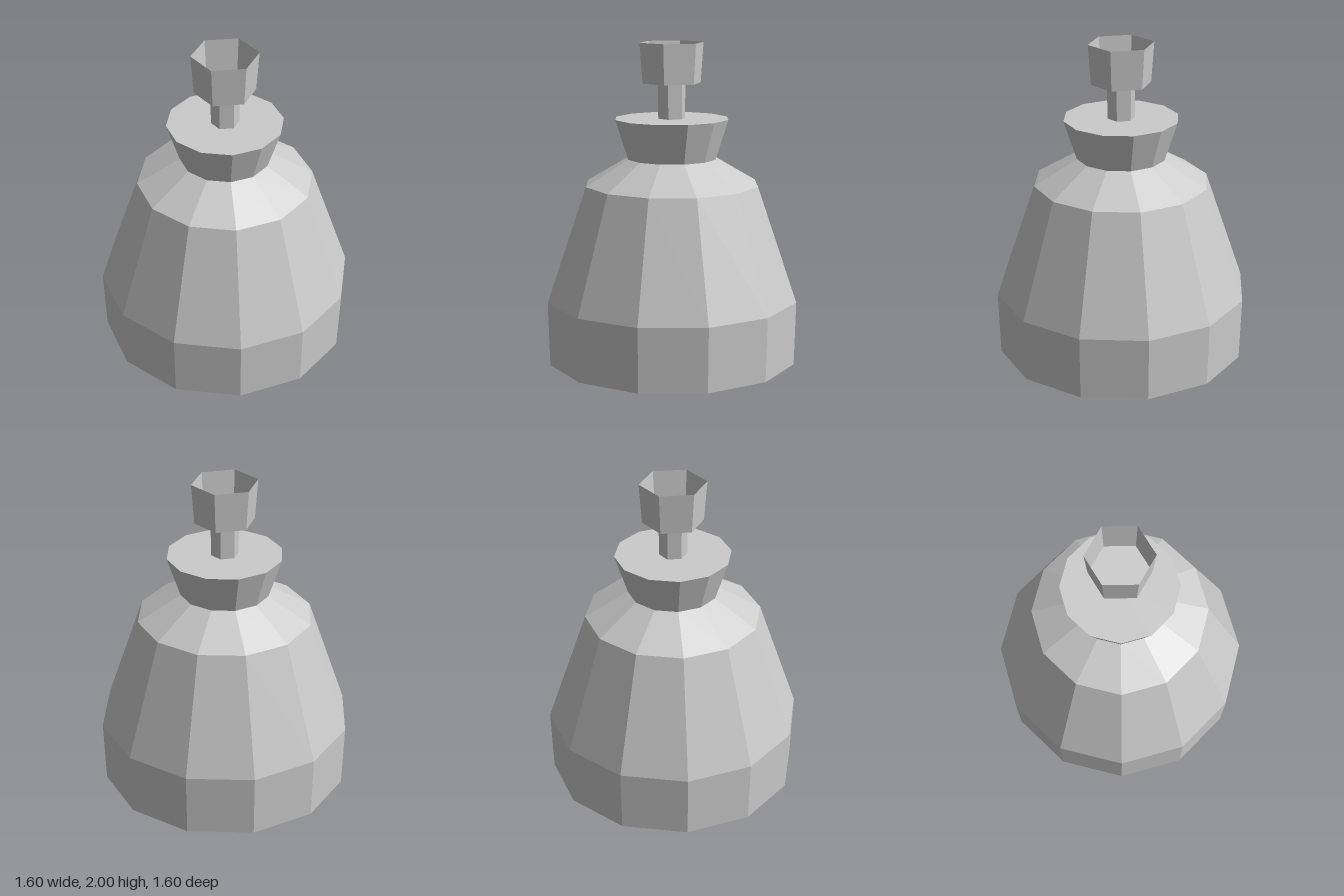
import * as THREE from 'three';

const material = new THREE.MeshStandardMaterial({
  color: 0xcccccc, flatShading: true, side: THREE.DoubleSide,
});

// Faceted part turned around the y axis; profile is [radius, height] from bottom to top
function turned(name, sides, profile) {
  const points = profile.map(([r, y]) => new THREE.Vector2(r, y));
  const mesh = new THREE.Mesh(new THREE.LatheGeometry(points, sides), material);
  mesh.name = name;
  return mesh;
}

export function createModel() {
  const model = new THREE.Group();
  model.name = 'bottle';
  model.add(
    // Hollow body with an opening in its base and a sloping shoulder
    turned('body', 12, [[0.47, 0], [0.79, 0], [0.8, 0.4], [0.55, 1.12], [0.28, 1.28]]),
    // Flared collar closed by a flat top
    turned('collar', 12, [[0.28, 1.28], [0.36, 1.53], [0, 1.53]]),
    // Hexagonal stem
    turned('stem', 6, [[0.087, 1.53], [0.087, 1.75]]),
    // Thin hexagonal cup, open at the top
    turned('cup', 6, [[0, 1.75], [0.187, 1.75], [0.205, 2]]),
  );
  return model;
}
